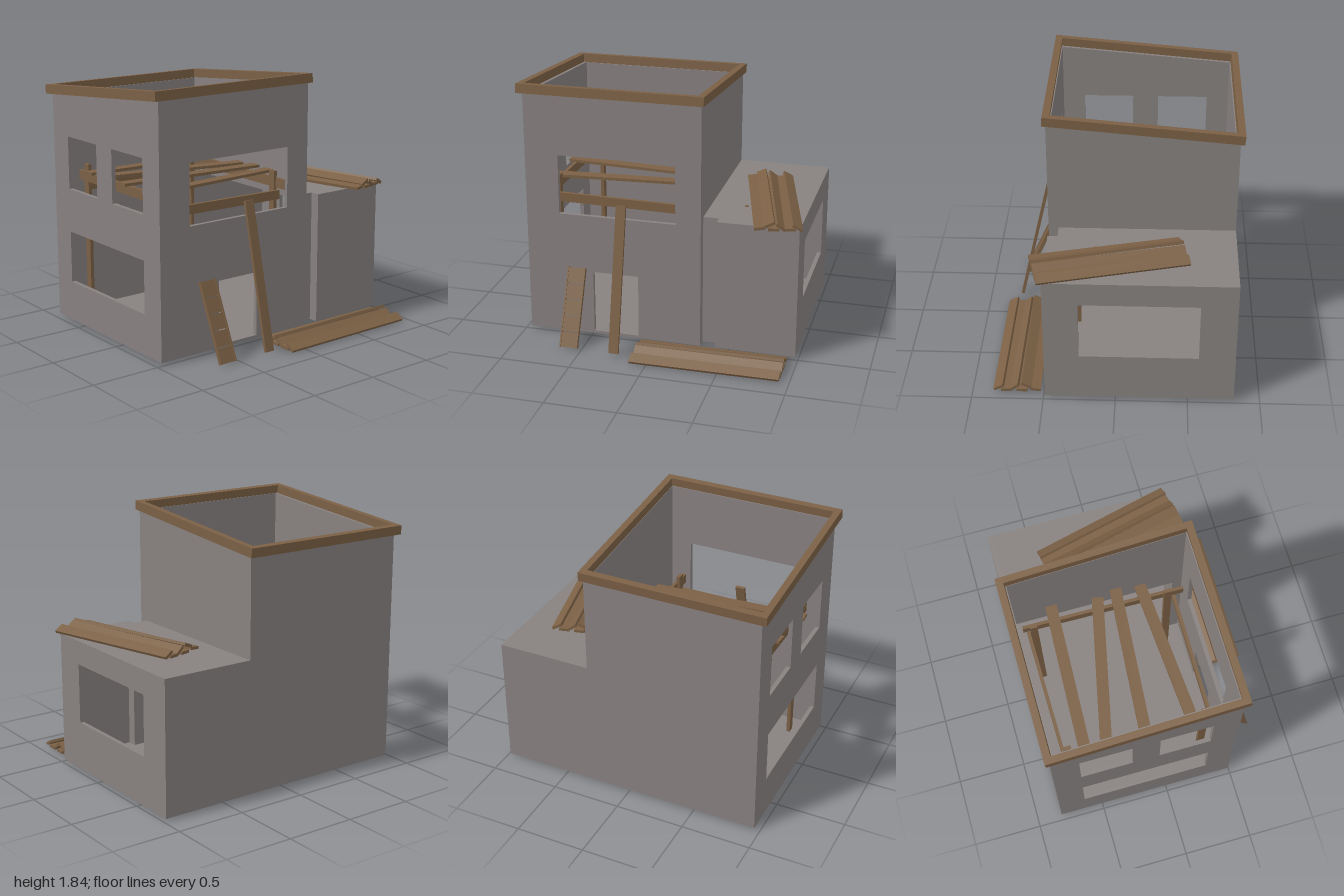
import * as THREE from 'three';

const plaster = new THREE.MeshStandardMaterial({ color: 0x87817f });
plaster.name = 'grey plaster';
const wood = new THREE.MeshStandardMaterial({ color: 0x7b6045 });
wood.name = 'brown wood';
const T = 0.03; // wall thickness

const rect = (x0, y0, x1, y1) => [[x0, y0], [x1, y0], [x1, y1], [x0, y1]];
const toPoints = (list) => list.map(([x, y]) => new THREE.Vector2(x, y));

// flat panel with openings, extruded along +z
function panelGeometry(outline, holes, depth) {
  const shape = new THREE.Shape(toPoints(outline));
  for (const h of holes) shape.holes.push(new THREE.Path(toPoints(h)));
  return new THREE.ExtrudeGeometry(shape, { depth, bevelEnabled: false });
}

function add(parent, name, geometry, material) {
  const mesh = new THREE.Mesh(geometry, material);
  mesh.name = name;
  parent.add(mesh);
  return mesh;
}

function box(parent, name, material, x0, x1, y0, y1, z0, z1) {
  const mesh = add(parent, name, new THREE.BoxGeometry(x1 - x0, y1 - y0, z1 - z0), material);
  mesh.position.set((x0 + x1) / 2, (y0 + y1) / 2, (z0 + z1) / 2);
  return mesh;
}

// timber running between two points
function timber(parent, name, a, b, width, thickness) {
  const p = new THREE.Vector3(...a), q = new THREE.Vector3(...b);
  const mesh = add(parent, name, new THREE.BoxGeometry(width, thickness, p.distanceTo(q)), wood);
  mesh.position.copy(p).lerp(q, 0.5);
  mesh.lookAt(q);
  return mesh;
}

// heap of long boards along x: [z offset, height, roll]
function boardPile(name) {
  const pile = new THREE.Group();
  pile.name = name;
  const boards = [
    [-0.12, 0.022, 0.12], [-0.055, 0.052, 0.42], [-0.025, 0.014, 0],
    [0.025, 0.033, 0.65], [0.085, 0.014, 0], [0.135, 0.03, 0.5],
  ];
  boards.forEach(([z, y, roll], i) => {
    const sign = i === 3 || i === 5 ? 1 : -1;
    const board = add(pile, 'looseBoard', new THREE.BoxGeometry(1.05, 0.02, 0.075), wood);
    board.position.set(0, y, z);
    board.rotation.set(sign * roll, 0, i % 2 ? 0.008 : 0);
  });
  return pile;
}

export function createModel() {
  const model = new THREE.Group();
  model.name = 'ruinedHouse';
  const roofY = (z) => 1.725 + 0.0875 * (z + 0.165);

  // front and back tower walls
  const front = add(model, 'frontWall', panelGeometry(
    rect(-0.96, 0.02, 0.3, roofY(0.49)),
    [rect(-0.72, 0.92, 0.12, 1.35), rect(-0.48, 0.04, -0.15, 0.5)], T), plaster);
  front.position.z = 0.49 - T;
  const back = add(model, 'backWall', panelGeometry(
    [[-0.96, 0.02], [0.98, 0.02], [0.98, 0.97], [0.3, 0.97], [0.3, roofY(-0.82)], [-0.96, roofY(-0.82)]],
    [], T), plaster);
  back.position.z = -0.82;

  // side walls: profile drawn in (-z, y), then turned to face sideways
  const sideWall = (name, x, outline, holes) => {
    const g = panelGeometry(outline, holes, T).rotateY(Math.PI / 2);
    add(model, name, g, plaster).position.x = x;
  };
  const slopedSide = (y0) => [[-0.49, y0], [0.82, y0], [0.82, roofY(-0.82)], [-0.49, roofY(0.49)]];
  sideWall('rightWall', -0.96, slopedSide(0.02), [
    rect(-0.3, 0.31, 0.63, 0.685), rect(-0.3, 1.0, 0.07, 1.38), rect(0.26, 1.0, 0.63, 1.38)]);
  sideWall('upperLeftWall', 0.3 - T, slopedSide(0.94), []);
  sideWall('annexSideWall', 0.98 - T, rect(-0.49, 0.02, 0.82, 0.97), [rect(-0.25, 0.37, 0.57, 0.8)]);

  // annex front with a shallow recess next to the tower
  box(model, 'annexFrontWall', plaster, 0.41, 0.98, 0.02, 0.97, 0.49 - T, 0.49);
  box(model, 'recessWall', plaster, 0.27, 0.44, 0.02, 0.97, 0.42 - T, 0.42);
  box(model, 'recessReturn', plaster, 0.41, 0.44, 0.02, 0.97, 0.4, 0.49);
  box(model, 'recessReturn', plaster, 0.27, 0.3, 0.02, 0.97, 0.4, 0.49);

  // annex roof and floor
  box(model, 'annexRoof', plaster, 0.28, 0.98, 0.94, 0.97, -0.82, 0.42);
  box(model, 'annexRoofFront', plaster, 0.41, 0.98, 0.94, 0.97, 0.42, 0.49);
  box(model, 'floor', plaster, -0.96, 0.98, 0.02, 0.04, -0.82, 0.42);
  box(model, 'floorFront', plaster, -0.96, 0.3, 0.02, 0.04, 0.42, 0.49);
  box(model, 'annexFloorFront', plaster, 0.41, 0.98, 0.02, 0.04, 0.42, 0.49);

  // sloping timber rim round the open tower top
  const rimGeometry = panelGeometry(
    rect(-0.66, -0.685, 0.66, 0.685), [rect(-0.613, -0.635, 0.613, 0.635)], 0.065).rotateX(-Math.PI / 2);
  const rim = add(model, 'roofRim', rimGeometry, wood);
  rim.position.set(-0.34, 1.722, -0.165);
  rim.rotation.x = -Math.atan(0.0875);

  // scaffold inside the tower
  const scaffold = new THREE.Group();
  scaffold.name = 'scaffold';
  model.add(scaffold);
  for (const x of [-0.775, 0.14]) {
    for (const z of [-0.675, 0.31])
      box(scaffold, 'scaffoldPost', wood, x - 0.013, x + 0.013, 0.007, 1.15, z - 0.027, z + 0.027);
  }
  timber(scaffold, 'longBeam', [-0.79, 1.065, -0.75], [-0.8, 1.065, 0.43], 0.024, 0.07);
  timber(scaffold, 'longBeam', [0.17, 1.065, -0.75], [0.155, 1.065, 0.43], 0.024, 0.07);
  timber(scaffold, 'crossBeam', [-0.78, 0.985, -0.705], [0.16, 0.985, -0.715], 0.024, 0.065);
  timber(scaffold, 'crossBeam', [-0.79, 0.995, 0.35], [0.15, 0.985, 0.36], 0.024, 0.065);
  const deck = [
    [-0.84, -0.56, 0.28, -0.515], [-0.86, -0.42, 0.24, -0.18],
    [-0.84, -0.13, 0.28, -0.04], [-0.88, 0.215, 0.25, 0.135],
  ];
  for (const [x0, z0, x1, z1] of deck)
    timber(scaffold, 'deckPlank', [x0, 1.11, z0], [x1, 1.11, z1], 0.083, 0.02);

  // prop leaning on the front wall
  timber(model, 'leaningProp', [-0.255, 0.02, 0.757], [-0.255, 1.035, 0.527], 0.07, 0.022);

  // leaning ladder board: side rails with short boards between
  const ladder = new THREE.Group();
  ladder.name = 'leaningLadder';
  ladder.position.set(-0.593, 0.27, 0.622);
  ladder.rotation.x = -Math.atan2(0.23, 0.52);
  model.add(ladder);
  for (const s of [-1, 1])
    box(ladder, 'ladderRail', wood, s * 0.061 - 0.005, s * 0.061 + 0.005, -0.285, 0.285, -0.014, 0.014);
  for (let i = 0; i < 5; i++) {
    const y = -0.283 + i * 0.114;
    box(ladder, 'ladderBoard', wood, -0.058, 0.058, y, y + 0.108, -0.01, 0.009);
  }

  // heaps of loose boards on the ground and on the annex roof
  const groundPile = boardPile('groundBoards');
  groundPile.position.set(0.405, 0.004, 0.68);
  const roofPile = boardPile('roofBoards');
  roofPile.position.set(0.715, 0.97, 0.05);
  roofPile.rotation.y = THREE.MathUtils.degToRad(104);
  model.add(groundPile, roofPile);

  // splinter on the annex roof
  box(model, 'splinter', wood, 0.535, 0.56, 0.965, 0.975, 0.135, 0.16);

  return model;
}
